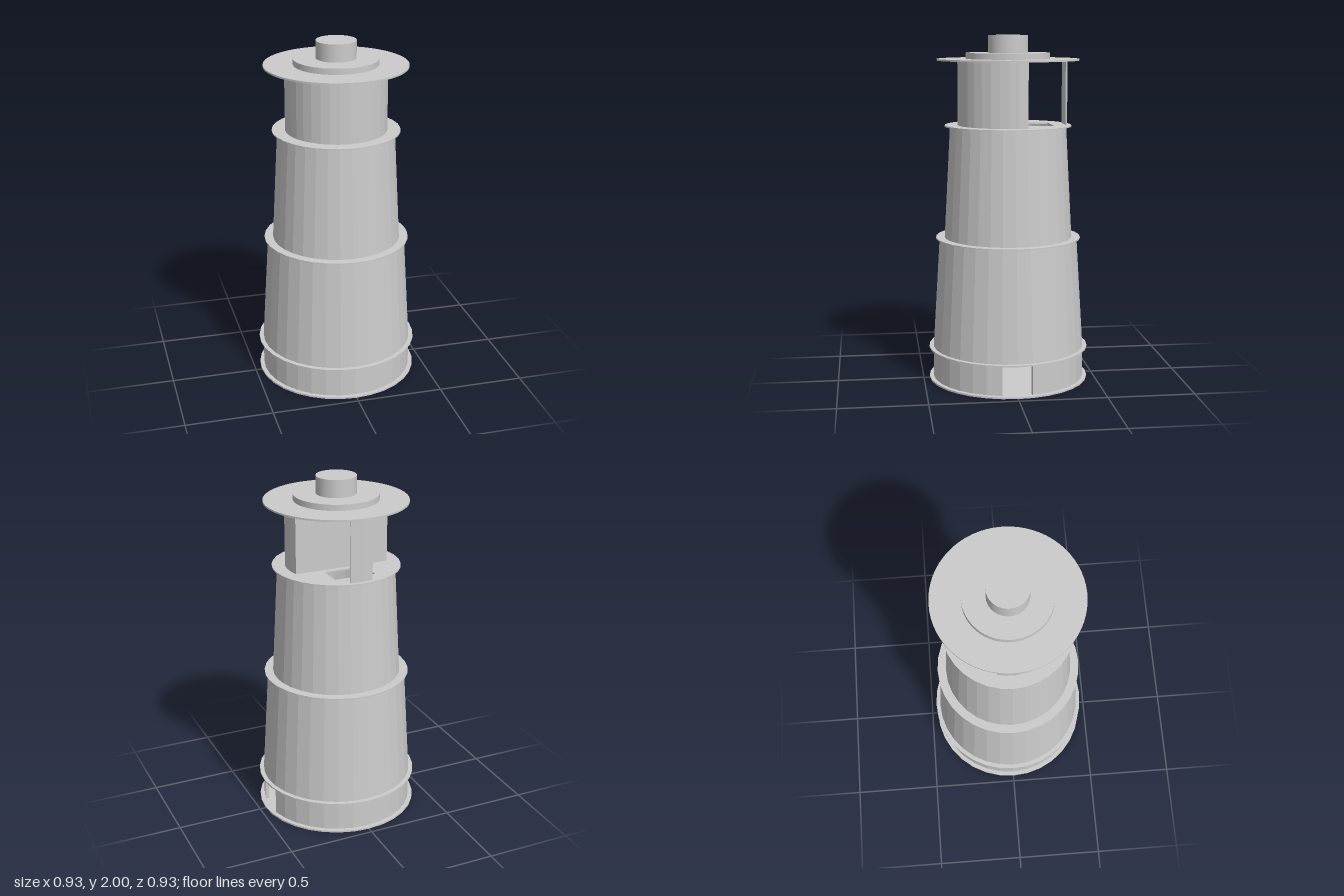
import * as THREE from 'three';

const SIDES = 32;
const STEP = (Math.PI * 2) / SIDES;

export function createModel() {
  const group = new THREE.Group();
  const flat = new THREE.MeshStandardMaterial({ color: 0xcccccc, flatShading: true, side: THREE.DoubleSide });
  const smooth = new THREE.MeshStandardMaterial({ color: 0xcccccc });

  const add = (name, geometry, material = flat) => {
    const mesh = new THREE.Mesh(geometry, material);
    mesh.name = name;
    group.add(mesh);
    return mesh;
  };

  // Solid disc between two heights
  const disc = (name, r, y0, y1, sides = SIDES, material = flat) => {
    add(name, new THREE.CylinderGeometry(r, r, y1 - y0, sides), material).position.y = (y0 + y1) / 2;
  };

  // Hollow tapered wall
  const tier = (name, r0, r1, y0, y1, t = 0.02) => {
    const profile = [[r0 - t, y0], [r0, y0], [r1, y1], [r1 - t, y1], [r0 - t, y0]];
    add(name, new THREE.LatheGeometry(profile.map(p => new THREE.Vector2(...p)), SIDES));
  };

  // Plan points along an arc; angle 0 is +x and angles turn towards the back (-z)
  const arc = (r, start, steps, step = STEP) =>
    Array.from({ length: steps + 1 }, (_, i) =>
      new THREE.Vector2(r * Math.cos(start + i * step), r * Math.sin(start + i * step)));

  // Raise a plan shape from y0 to y1
  const raise = (name, shape, y0, y1) => {
    const geometry = new THREE.ExtrudeGeometry(shape, { depth: y1 - y0, bevelEnabled: false });
    geometry.rotateX(-Math.PI / 2).translate(0, y0, 0);
    add(name, geometry);
  };

  // Curved wall covering part of a circle
  const curvedWall = (name, rOut, rIn, start, steps, y0, y1) =>
    raise(name, new THREE.Shape([...arc(rOut, start, steps), ...arc(rIn, start, steps).reverse()]), y0, y1);

  // Base with a doorway on the +x side
  disc('basePlate', 0.465, 0, 0.01);
  curvedWall('baseWall', 0.44, 0.42, STEP, SIDES - 2, 0.01, 0.183);
  disc('lowerGallery', 0.465, 0.183, 0.191);

  // Two tapered tower tiers
  tier('lowerTower', 0.44, 0.4, 0.191, 0.831);
  disc('middleGallery', 0.42, 0.831, 0.839);
  tier('upperTower', 0.37, 0.335, 0.839, 1.481);

  // Upper deck with a hatch behind the lantern room
  const deck = new THREE.Shape(arc(0.365, 0, SIDES - 1));
  deck.holes.push(new THREE.Path([[-0.12, 0.11], [-0.12, 0.25], [0.12, 0.25], [0.12, 0.11]]
    .map(p => new THREE.Vector2(...p))));
  raise('upperDeck', deck, 1.481, 1.489);

  // Lantern room: round in front, cut flat at the back
  const cut = Math.asin(0.08 / 0.29);
  const sweep = Math.PI + 2 * cut;
  raise('lanternRoom', new THREE.Shape(arc(0.29, Math.PI - cut, 20, sweep / 20)), 1.489, 1.856);

  // Curved rear pillar under the roof
  curvedWall('rearPillar', 0.34, 0.33, Math.PI / 2 - STEP, 2, 1.489, 1.856);

  // Roof discs and cap
  disc('roof', 0.407, 1.856, 1.866, 64, smooth);
  disc('roofStep', 0.241, 1.866, 1.9, 64, smooth);
  disc('roofCap', 0.114, 1.9, 2, 64, smooth);

  return group;
}
